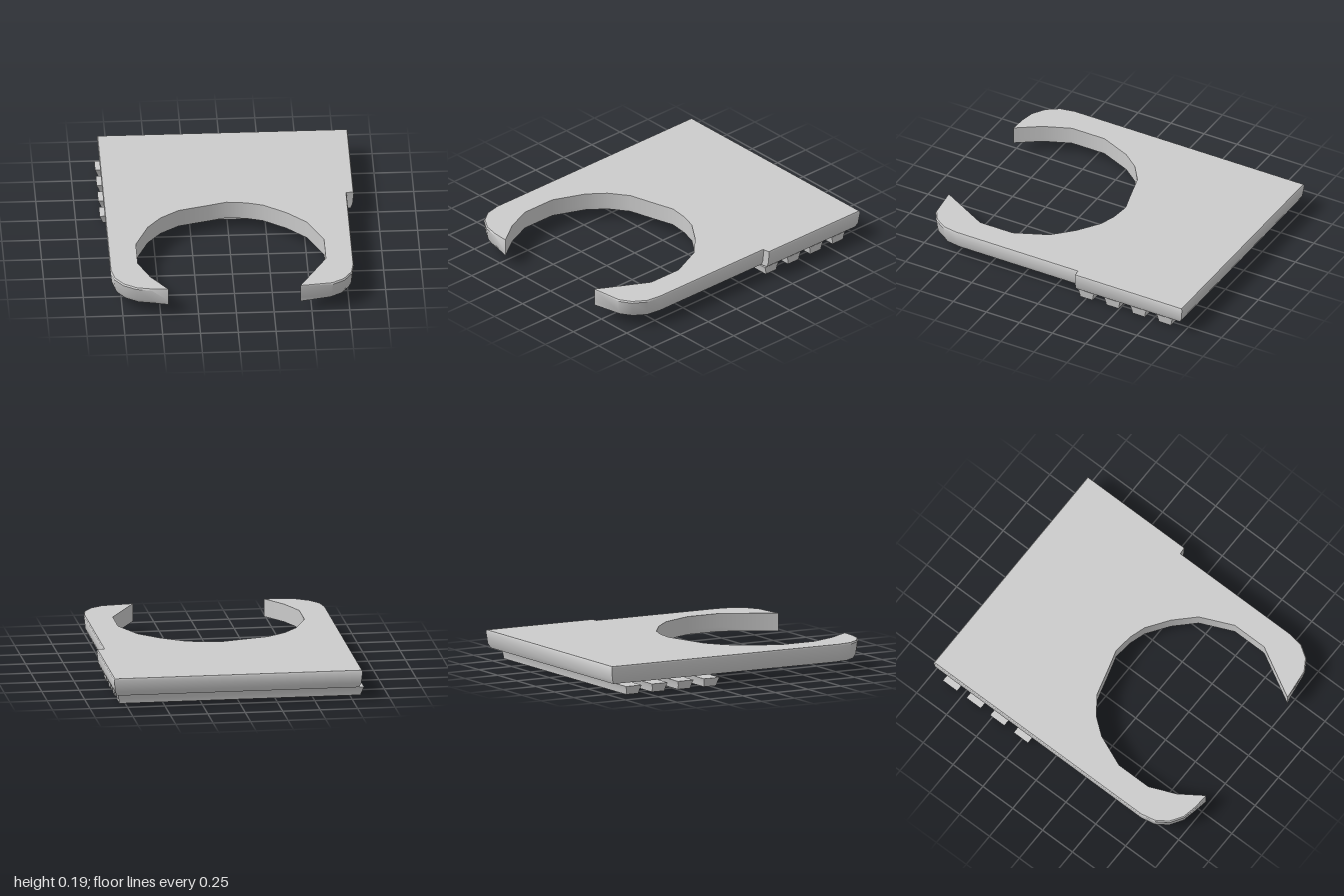
import * as THREE from 'three';
import { toCreasedNormals } from 'three/addons/utils/BufferGeometryUtils.js';

const material = new THREE.MeshStandardMaterial({ color: 0xcccccc });

// Outer edge of the plate and its arms as [x, z]
const OUTER = [
  [-0.56, 0.995], [-0.66, 0.975], [-0.745, 0.92], [-0.8, 0.84], [-0.82, 0.74],
  [-0.82, -1], [0.838, -1], [0.838, -0.19], [0.79, -0.185],
  [0.79, 0.74], [0.775, 0.84], [0.72, 0.925], [0.64, 0.975],
];
// Faceted round opening between the arm tips
const NOTCH = [
  [0.425, 0.995], [0.61, 0.655], [0.61, 0.41], [0.51, 0.185], [0.38, 0.055],
  [0.23, -0.05], [0.12, -0.085], [-0.01, -0.1], [-0.13, -0.065], [-0.33, -0.01],
  [-0.455, 0.08], [-0.545, 0.195], [-0.635, 0.41], [-0.635, 0.655],
  [-0.56, 0.835], [-0.45, 0.995],
];
// Plate levels: [height, inward scaling of the outer edge]
const LEVELS = [[0.075, 0.975], [0.105, 0.99], [0.185, 1], [0.195, 0.994]];

// Stack the outline through the levels and close it with two caps
function plateGeometry() {
  const outline = [...OUTER, ...NOTCH];
  const n = outline.length;
  const rings = LEVELS.map(([y, s]) => outline.map(([x, z], i) => {
    const k = i < OUTER.length ? s : 1;
    return [x * k, y, z * k];
  }));
  const positions = [];
  const tri = (a, b, c) => positions.push(...a, ...b, ...c);

  for (let l = 0; l < rings.length - 1; l++) {
    const lo = rings[l], hi = rings[l + 1];
    for (let i = 0; i < n; i++) {
      const j = (i + 1) % n;
      tri(lo[i], hi[i], hi[j]);
      tri(lo[i], hi[j], lo[j]);
    }
  }
  const bottom = rings[0], top = rings[rings.length - 1];
  const cap = (ring, flip) => {
    const contour = ring.map((p) => new THREE.Vector2(p[0], p[2]));
    for (const [a, b, c] of THREE.ShapeUtils.triangulateShape(contour, [])) {
      if (flip) tri(ring[a], ring[c], ring[b]);
      else tri(ring[a], ring[b], ring[c]);
    }
  };
  cap(bottom, false);
  cap(top, true);

  const geometry = new THREE.BufferGeometry();
  geometry.setAttribute('position', new THREE.Float32BufferAttribute(positions, 3));
  return toCreasedNormals(geometry, 0.7);
}

// Long bar whose sides and ends lean inward towards the bottom
function slatGeometry() {
  const geometry = new THREE.BoxGeometry(1.64, 0.058, 0.12, 1, 2, 1);
  const p = geometry.attributes.position;
  for (let i = 0; i < p.count; i++) {
    const drop = 0.5 - p.getY(i) / 0.058;
    const end = p.getX(i) < 0 ? 0.022 : -0.008;
    p.setX(i, p.getX(i) + end * drop);
    p.setZ(i, p.getZ(i) * (1 - 0.22 * Math.sqrt(drop)));
  }
  return toCreasedNormals(geometry, 0.6);
}

export function createModel() {
  const model = new THREE.Group();
  model.name = 'forkedPlate';

  const plate = new THREE.Mesh(plateGeometry(), material);
  plate.name = 'plateWithArms';
  model.add(plate);

  // Four slats running across, just below the rear of the plate
  const slat = slatGeometry();
  for (let i = 0; i < 4; i++) {
    const mesh = new THREE.Mesh(slat, material);
    mesh.name = `slat${i + 1}`;
    mesh.position.set(-0.023, 0.029, -0.25 - i * 0.198);
    model.add(mesh);
  }
  return model;
}
